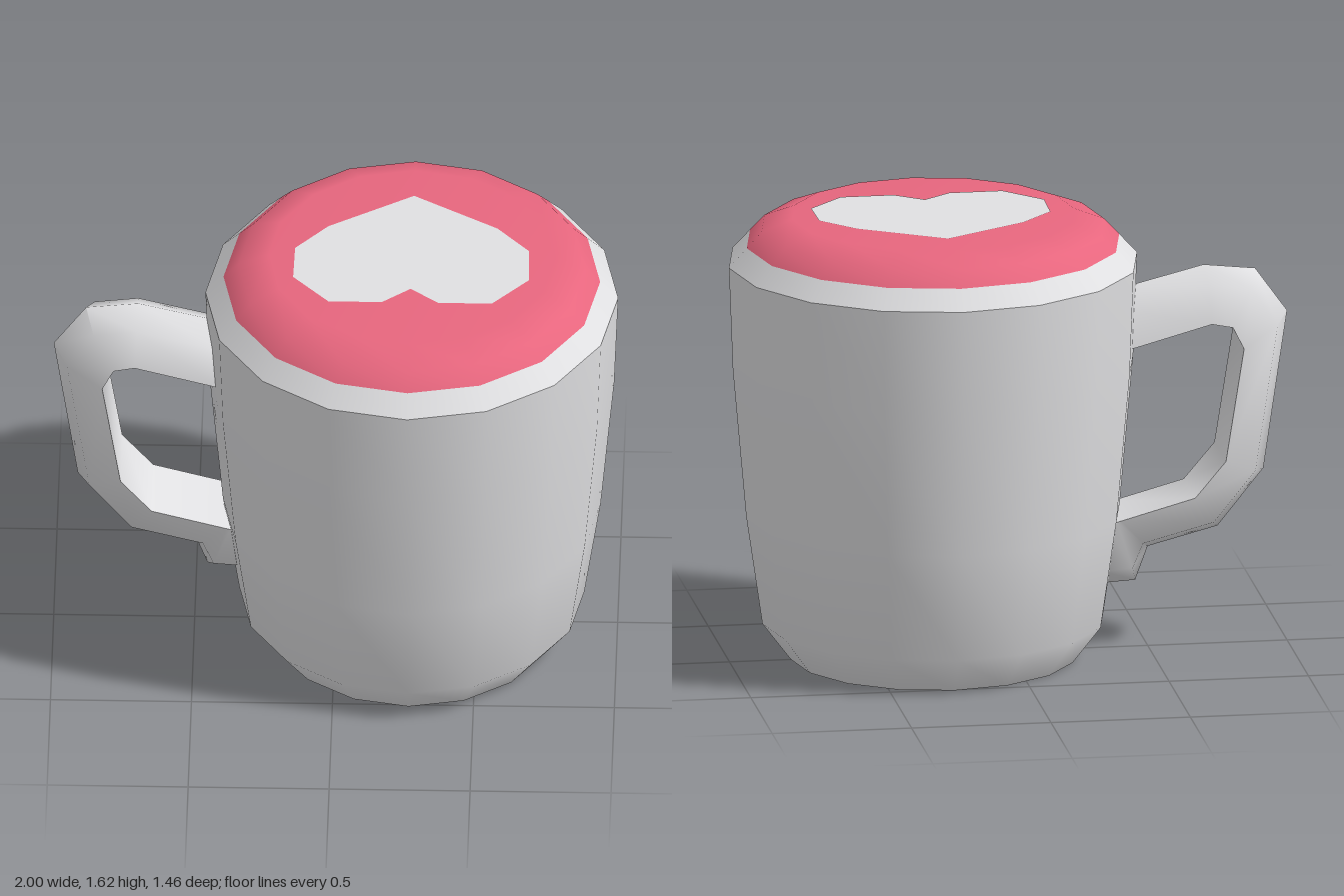
import * as THREE from 'three';
import { toCreasedNormals } from 'three/addons/utils/BufferGeometryUtils.js';

const CENTER_X = 0.27;
const SIDES = 16;

function flatColor(name, color) {
  const material = new THREE.MeshStandardMaterial({ color });
  material.name = name;
  return material;
}
const ceramic = flatColor('pale grey ceramic', 0xe0e0e2);
const drink = flatColor('pink drink', 0xe9677f);
const underside = flatColor('dark grey underside', 0x98969e);

function addMesh(group, name, geometry, material) {
  const mesh = new THREE.Mesh(geometry, material);
  mesh.name = name;
  group.add(mesh);
  return mesh;
}

// Turned surface from [radius, height] pairs, listed bottom to top
function turned(profile) {
  return new THREE.LatheGeometry(profile.map(([r, y]) => new THREE.Vector2(r, y)), SIDES);
}

// Handle swept through paired outer and inner points, rounded outside and flat inside
function handleGeometry() {
  const stations = [
    // outer x, y, inner x, y
    [-0.40, 1.315, -0.40, 1.12],
    [-0.70, 1.39, -0.71, 1.205],
    [-0.885, 1.37, -0.785, 1.19],
    [-1.0, 1.21, -0.825, 1.11],
    [-0.915, 0.635, -0.76, 0.70],
    [-0.75, 0.43, -0.65, 0.57],
    [-0.50, 0.365, -0.385, 0.497],
    [-0.455, 0.243, -0.37, 0.493],
    [-0.32, 0.235, -0.33, 0.485],
  ];
  // z offset and share of the way from outer to inner point
  const section = [[-0.137, 1], [-0.1, 0.28], [0, 0], [0.1, 0.28], [0.137, 1]];
  const n = section.length;
  const positions = [];
  const index = [];
  for (const [ox, oy, ix, iy] of stations) {
    for (const [z, t] of section) positions.push(ox + (ix - ox) * t, oy + (iy - oy) * t, z);
  }
  for (let i = 0; i < stations.length - 1; i++) {
    for (let j = 0; j < n; j++) {
      const a = i * n + j;
      const b = i * n + (j + 1) % n;
      index.push(a, a + n, b, b, a + n, b + n);
    }
  }
  const geometry = new THREE.BufferGeometry();
  geometry.setAttribute('position', new THREE.Float32BufferAttribute(positions, 3));
  geometry.setIndex(index);
  return toCreasedNormals(geometry, 1.1);
}

// Faceted heart with its point toward the back
function heartGeometry() {
  const half = [[0.3, 0.17], [0.415, 0.04], [0.418, -0.13], [0.29, -0.27], [0.1, -0.27]];
  const outline = [
    [0, 0.355],
    ...half,
    [0, -0.19],
    ...half.map(([x, y]) => [-x, y]).reverse(),
  ];
  const shape = new THREE.Shape(outline.map(([x, y]) => new THREE.Vector2(x, y)));
  return new THREE.ShapeGeometry(shape).rotateX(-Math.PI / 2);
}

export function createModel() {
  const model = new THREE.Group();
  model.name = 'mug';

  const cup = new THREE.Group();
  cup.name = 'cup';
  cup.position.x = CENTER_X;
  model.add(cup);

  addMesh(cup, 'body', turned([
    [0.51, 0], [0.612, 0.135], [0.67, 0.53], [0.718, 1.07], [0.732, 1.445],
  ]), ceramic);
  addMesh(cup, 'base', new THREE.CircleGeometry(0.51, SIDES).rotateX(Math.PI / 2), underside);
  addMesh(cup, 'rim', turned([[0.732, 1.445], [0.668, 1.515]]), ceramic);
  addMesh(cup, 'drinkSurface', turned([
    [0.668, 1.515], [0.615, 1.572], [0.507, 1.614], [0, 1.614],
  ]), drink);
  addMesh(cup, 'heart', heartGeometry(), ceramic).position.y = 1.617;

  addMesh(model, 'handle', handleGeometry(), ceramic);
  return model;
}
